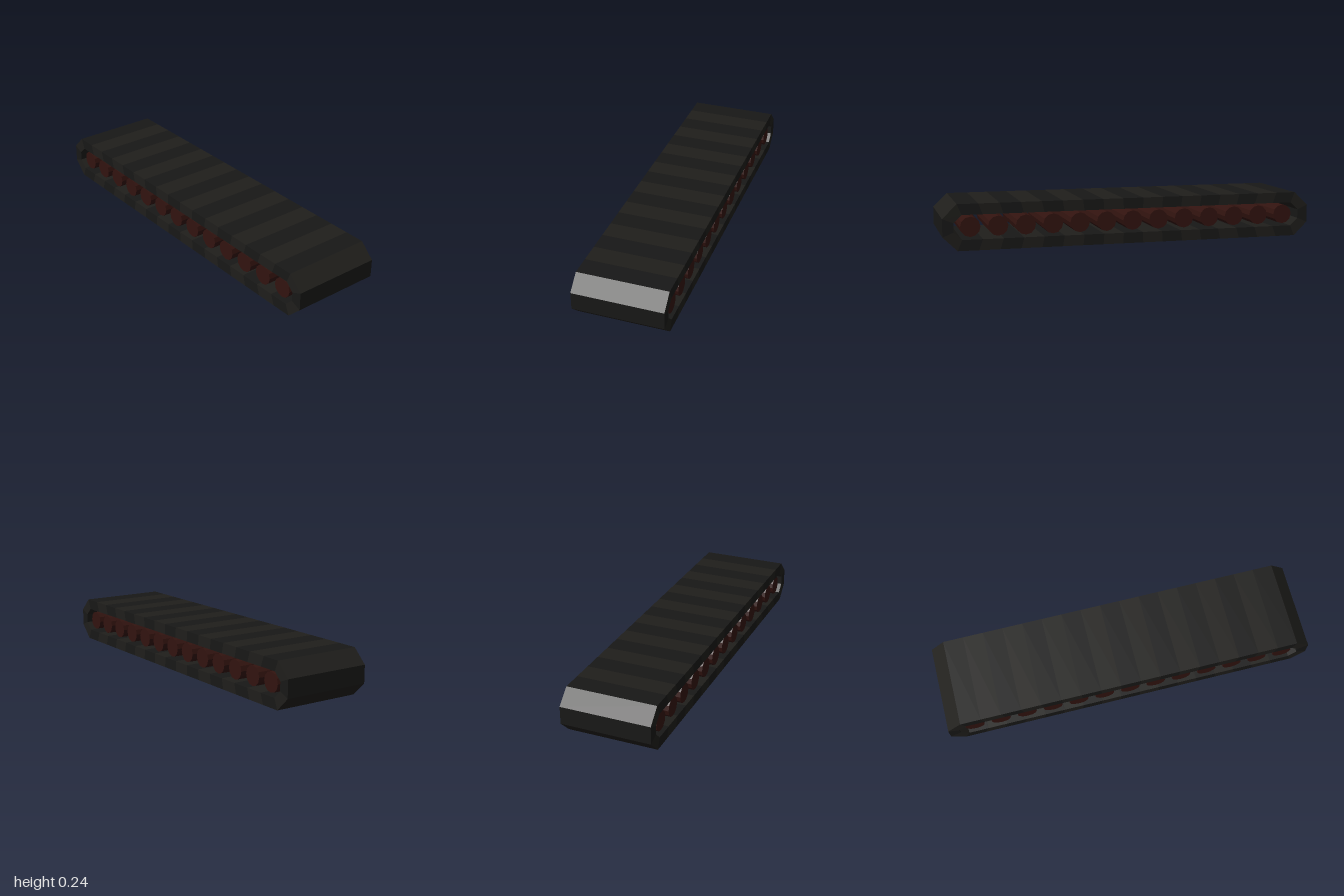
import * as THREE from 'three';

const HALF_WIDTH = 0.238;
const LINKS_PER_RUN = 17;
const WHEELS = 13;

// Belt profile corners as [z, y], going round the loop
const loop = (zRun, zEnd, yLow, ySide) => [
  [zRun, yLow], [zEnd, ySide], [zEnd, 0.24 - ySide], [zRun, 0.24 - yLow],
  [-zRun, 0.24 - yLow], [-zEnd, 0.24 - ySide], [-zEnd, ySide], [-zRun, yLow],
];

// Split the two long runs into equal links; the end faces are one link each
function subdivide(corners) {
  const points = [];
  corners.forEach(([z, y], i) => {
    const [z2, y2] = corners[(i + 1) % corners.length];
    const n = i === 3 || i === 7 ? LINKS_PER_RUN : 1;
    for (let k = 0; k < n; k++) {
      points.push([z + (z2 - z) * k / n, y + (y2 - y) * k / n]);
    }
  });
  return points;
}

// All links of one parity, each with outer, inner and two edge faces
function linkGeometry(outer, inner, parity) {
  const positions = [];
  const quad = (a, b, c, d) => positions.push(...a, ...b, ...c, ...a, ...c, ...d);
  const at = (x, [z, y]) => [x, y, z];
  const w = HALF_WIDTH;
  for (let i = parity; i < outer.length; i += 2) {
    const j = (i + 1) % outer.length;
    const [a, b, c, d] = [outer[i], outer[j], inner[j], inner[i]];
    quad(at(-w, a), at(w, a), at(w, b), at(-w, b));
    quad(at(w, d), at(-w, d), at(-w, c), at(w, c));
    quad(at(w, a), at(w, d), at(w, c), at(w, b));
    quad(at(-w, a), at(-w, b), at(-w, c), at(-w, d));
  }
  const geometry = new THREE.BufferGeometry();
  geometry.setAttribute('position', new THREE.Float32BufferAttribute(positions, 3));
  geometry.computeVertexNormals();
  return geometry;
}

export function createModel() {
  const model = new THREE.Group();
  model.name = 'crawlerTrack';

  // Belt of alternating dark links
  const outer = subdivide(loop(0.925, 1, 0, 0.073));
  const inner = subdivide(loop(0.902, 0.944, 0.056, 0.096));
  const belt = new THREE.Group();
  belt.name = 'belt';
  [0x181817, 0x1f1e1b].forEach((color, shade) => {
    const material = new THREE.MeshStandardMaterial({ color, flatShading: true });
    const links = new THREE.Mesh(linkGeometry(outer, inner, 1 - shade), material);
    links.name = shade ? 'lighterLinks' : 'darkerLinks';
    belt.add(links);
  });
  model.add(belt);

  // Row of road wheels spanning the belt width
  const wheelGeometry = new THREE.CylinderGeometry(0.052, 0.052, 0.45, 12);
  wheelGeometry.rotateZ(Math.PI / 2);
  const wheelMaterial = new THREE.MeshStandardMaterial({ color: 0x32130f, flatShading: true });
  const wheels = new THREE.Group();
  wheels.name = 'wheels';
  for (let i = 0; i < WHEELS; i++) {
    const wheel = new THREE.Mesh(wheelGeometry, wheelMaterial);
    wheel.name = 'wheel';
    wheel.position.set(0, 0.12, (i - (WHEELS - 1) / 2) * 0.143);
    wheels.add(wheel);
  }
  model.add(wheels);

  return model;
}
